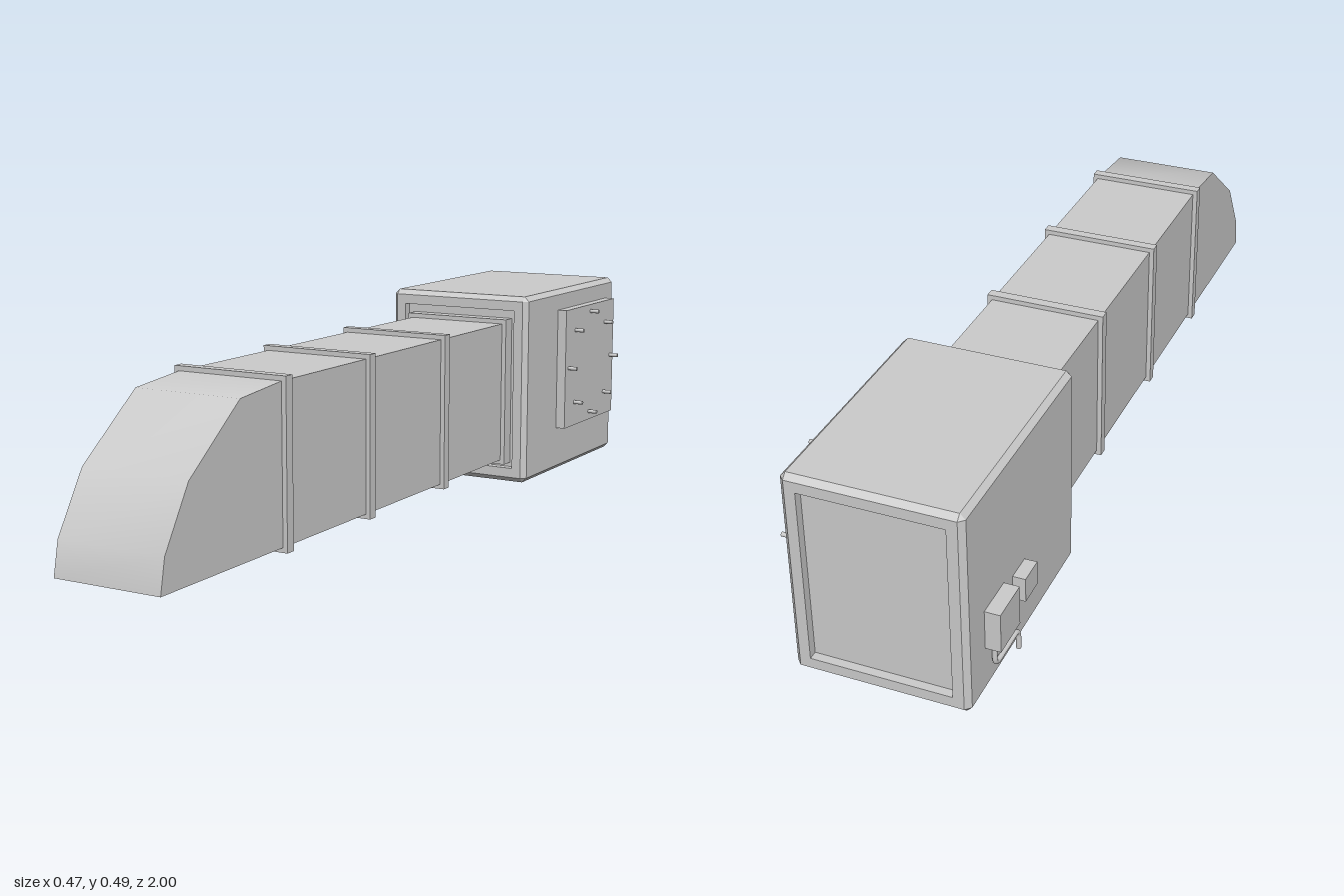
import * as THREE from 'three';

const grey = new THREE.MeshStandardMaterial({ color: 0xcccccc, flatShading: true });
const thin = new THREE.MeshStandardMaterial({ color: 0xcccccc, side: THREE.DoubleSide });
const round = new THREE.MeshStandardMaterial({ color: 0xcccccc });

// Duct extents and housing centre
const X0 = -0.136, X1 = 0.123, Y0 = 0.065, Y1 = 0.416;
const CX = -0.0075, CY = 0.246, HW = 0.1925, HH = 0.239;

export function createModel() {
  const model = new THREE.Group();
  const add = (name, geometry, material = grey) => {
    const mesh = new THREE.Mesh(geometry, material);
    mesh.name = name;
    model.add(mesh);
    return mesh;
  };
  const box = (name, x0, x1, y0, y1, z0, z1) =>
    add(name, new THREE.BoxGeometry(x1 - x0, y1 - y0, z1 - z0))
      .position.set((x0 + x1) / 2, (y0 + y1) / 2, (z0 + z1) / 2);

  // Housing: chamfered shell with a recessed panel at each end
  add('housing', housingGeometry());

  // Duct with an open, downturned hood at the front
  const hood = [[0.58, Y1], [0.73, 0.402], [0.905, 0.27], [0.985, 0.14], [1, Y0]];
  const side = new THREE.Shape([[-0.465, Y0], [-0.465, Y1], ...hood]
    .map(([z, y]) => new THREE.Vector2(-z, y)));
  for (const [name, x] of [['ductRightSide', X0], ['ductLeftSide', X1]]) {
    const mesh = add(name, new THREE.ShapeGeometry(side), thin);
    mesh.rotation.y = Math.PI / 2;
    mesh.position.x = x;
  }
  add('ductTop', strip([[-0.465, Y1], [0.58, Y1]]), thin);
  add('ductBottom', strip([[0.7, Y0], [-0.465, Y0]]), thin);
  add('hoodTop', strip(hood), thin);

  // Flange frames around the duct
  for (const [z, depth] of [[-0.465, 0.034], [-0.129, 0.024], [0.22, 0.024], [0.558, 0.024]]) {
    const frame = rectangle(new THREE.Shape(), 0.011);
    frame.holes.push(rectangle(new THREE.Path(), 0));
    add('ductFlange', new THREE.ExtrudeGeometry(frame, { depth, bevelEnabled: false }))
      .position.z = z;
  }

  // Access panel with a ring of eight studs
  box('accessPanel', 0.18, 0.209, 0.121, 0.433, -0.948, -0.634);
  for (let i = 0; i < 8; i++) {
    const a = i * Math.PI / 4;
    const stud = add('panelStud', new THREE.CylinderGeometry(0.005, 0.005, 0.03, 12), round);
    stud.rotation.z = Math.PI / 2;
    stud.position.set(0.218, 0.279 + 0.136 * Math.sin(a), -0.791 + 0.136 * Math.cos(a));
  }

  // Control boxes, the link between them and the bent drain pipe
  box('controlBox', -0.234, -0.198, 0.115, 0.207, -0.92, -0.824);
  box('switchBox', -0.228, -0.198, 0.134, 0.19, -0.78, -0.718);
  const link = add('boxLink', new THREE.CylinderGeometry(0.005, 0.005, 0.05, 12), round);
  link.rotation.x = Math.PI / 2;
  link.position.set(-0.207, 0.162, -0.802);
  const path = new THREE.CurvePath();
  const p = (y, z) => new THREE.Vector3(-0.2065, y, z);
  path.add(new THREE.LineCurve3(p(0.12, -0.89), p(0.07, -0.89)));
  path.add(new THREE.QuadraticBezierCurve3(p(0.07, -0.89), p(0.05, -0.89), p(0.05, -0.87)));
  path.add(new THREE.LineCurve3(p(0.05, -0.87), p(0.05, -0.79)));
  path.add(new THREE.QuadraticBezierCurve3(p(0.05, -0.79), p(0.05, -0.77), p(0.03, -0.77)));
  path.add(new THREE.LineCurve3(p(0.03, -0.77), p(0, -0.77)));
  add('drainPipe', new THREE.TubeGeometry(path, 48, 0.0055, 10), round);

  return model;
}

// Duct outline grown by a margin
function rectangle(path, m) {
  path.moveTo(X0 - m, Y0 - m);
  path.lineTo(X1 + m, Y0 - m);
  path.lineTo(X1 + m, Y1 + m);
  path.lineTo(X0 - m, Y1 + m);
  path.closePath();
  return path;
}

// Sheet across the duct width following a (z, y) profile
function strip(profile) {
  const geometry = new THREE.PlaneGeometry(X1 - X0, 1, 1, profile.length - 1);
  const pos = geometry.attributes.position;
  for (let i = 0; i < pos.count; i++) {
    const [z, y] = profile[i >> 1];
    pos.setXYZ(i, i % 2 ? X1 : X0, y, z);
  }
  geometry.computeVertexNormals();
  return geometry;
}

// Octagonal loops [inset, corner cut, z] joined from the back panel to the front panel
function housingGeometry() {
  const c = 0.012, r = 0.036;
  const loops = [
    [r, 0, -0.98], [r, 0, -1], [c, 0, -1], [0, c, -1 + c],
    [0, c, -0.445 - c], [c, 0, -0.445], [r, 0, -0.445], [r, 0, -0.465],
  ];
  const points = [], index = [];
  for (const [inset, cut, z] of loops) {
    const w = HW - inset, h = HH - inset;
    for (const [x, y] of [[w, -h + cut], [w, h - cut], [w - cut, h], [-w + cut, h],
      [-w, h - cut], [-w, -h + cut], [-w + cut, -h], [w - cut, -h]]) {
      points.push(CX + x, CY + y, z);
    }
  }
  for (let k = 0; k < loops.length - 1; k++) {
    for (let i = 0; i < 8; i++) {
      const a = k * 8 + i, b = k * 8 + (i + 1) % 8;
      index.push(a, b, b + 8, a, b + 8, a + 8);
    }
  }
  const last = (loops.length - 1) * 8;
  for (let i = 1; i < 7; i++) {
    index.push(0, i + 1, i, last, last + i, last + i + 1);
  }
  const indexed = new THREE.BufferGeometry();
  indexed.setAttribute('position', new THREE.Float32BufferAttribute(points, 3));
  indexed.setIndex(index);
  const geometry = indexed.toNonIndexed();
  geometry.computeVertexNormals();
  return geometry;
}
